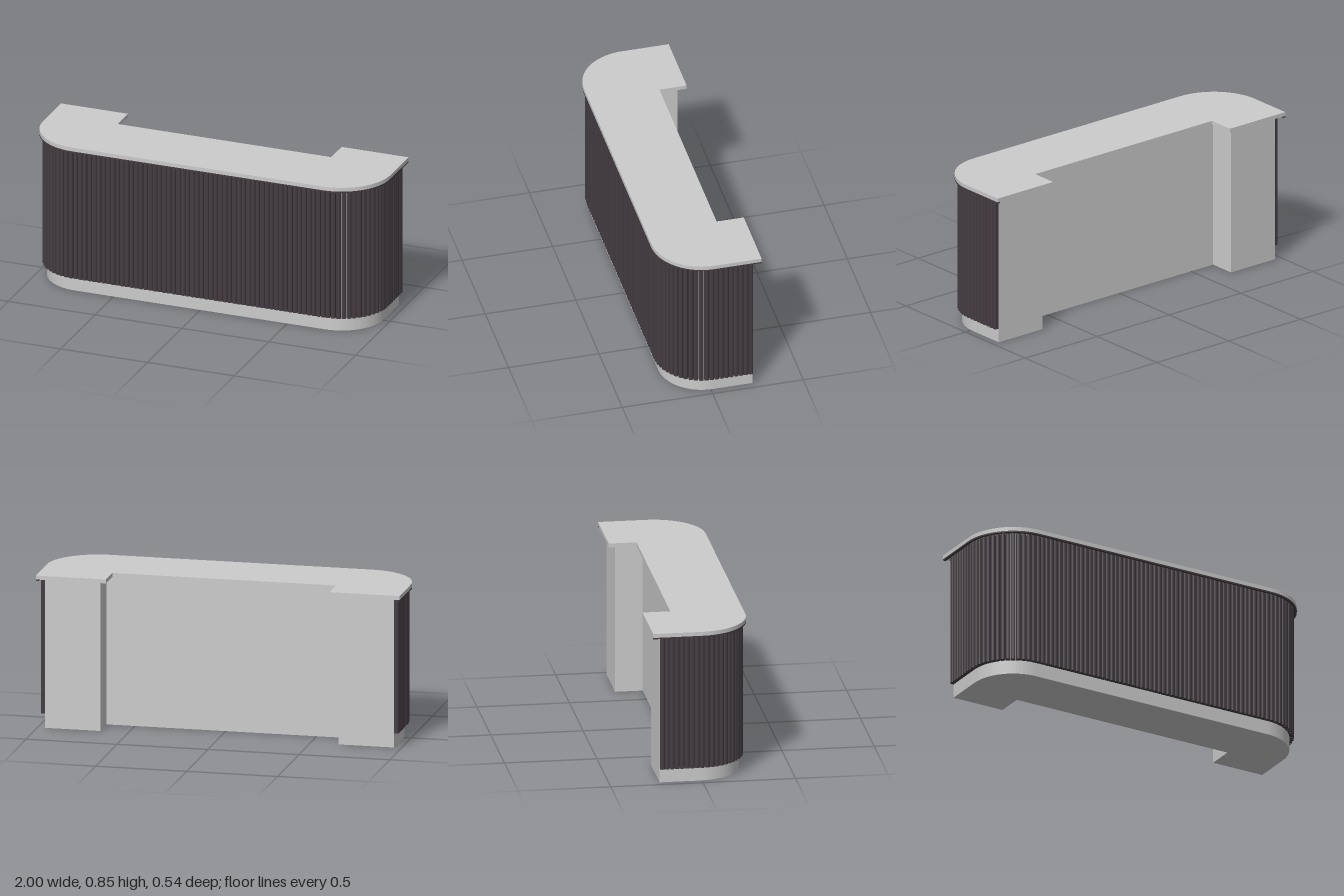
import * as THREE from 'three';

const HALF = 0.96, FRONT = 0.23, BACK = -0.23, RADIUS = 0.24;
const NOTCH_X = 0.655, NOTCH_Z = -0.08;

// Front and side outline grown outwards by d; shape y is -z
function frontPoints(d, back) {
  const pts = [new THREE.Vector2(-HALF - d, -back)];
  const r = RADIUS + d, n = 20;
  for (const side of [-1, 1]) {
    for (let i = 0; i <= n; i++) {
      const a = (i / n) * Math.PI / 2;
      const t = side < 0 ? a : Math.PI / 2 - a;
      pts.push(new THREE.Vector2(
        side * (HALF - RADIUS + r * Math.cos(t)),
        -(FRONT - RADIUS + r * Math.sin(t))));
    }
  }
  pts.push(new THREE.Vector2(HALF + d, -back));
  return pts;
}

// Full counter plan with the recess at the back
function plan(d) {
  const x = NOTCH_X - d, z = -(NOTCH_Z - d);
  return new THREE.Shape([
    ...frontPoints(d, BACK - d),
    new THREE.Vector2(x, -(BACK - d)), new THREE.Vector2(x, z),
    new THREE.Vector2(-x, z), new THREE.Vector2(-x, -(BACK - d)),
  ]);
}

// Upright extrusion from y0 to y1
function upright(shape, y0, y1, curveSegments = 8) {
  const g = new THREE.ExtrudeGeometry(shape, { depth: y1 - y0, bevelEnabled: false, curveSegments });
  return g.rotateX(-Math.PI / 2).translate(0, y0, 0);
}

// Position and outward heading at distance s along the body's front path
function alongPath(s) {
  const side = FRONT - RADIUS - BACK, arc = RADIUS * Math.PI / 2, front = 2 * (HALF - RADIUS);
  const total = 2 * (side + arc) + front;
  if (s > total / 2) {
    const m = alongPath(total - s);
    return { x: -m.x, z: m.z, angle: -m.angle };
  }
  if (s < side) return { x: -HALF, z: BACK + s, angle: -Math.PI / 2 };
  if (s < side + arc) {
    const a = (s - side) / RADIUS;
    return {
      x: -(HALF - RADIUS) - RADIUS * Math.cos(a),
      z: FRONT - RADIUS + RADIUS * Math.sin(a),
      angle: a - Math.PI / 2,
    };
  }
  return { x: -(HALF - RADIUS) + s - side - arc, z: FRONT, angle: 0 };
}

export function createModel() {
  const model = new THREE.Group();
  model.name = 'receptionCounter';
  const grey = new THREE.MeshStandardMaterial({ color: 0xcccccc });
  const dark = new THREE.MeshStandardMaterial({ color: 0x443d42 });
  const add = (name, geometry, material, parent = model) => {
    const mesh = new THREE.Mesh(geometry, material);
    mesh.name = name;
    parent.add(mesh);
    return mesh;
  };

  // Carcass, with its plinth showing below the slats
  add('body', upright(plan(0), 0, 0.825), grey);

  // Overhanging worktop
  add('worktop', upright(plan(0.04), 0.825, 0.847), grey);

  // Dark trim under the worktop's front and side edges
  const trim = new THREE.Shape([
    ...frontPoints(0.04, BACK - 0.04),
    ...frontPoints(0.025, BACK - 0.04).reverse(),
  ]);
  add('edgeTrim', upright(trim, 0.817, 0.825), dark);

  // Round-fronted vertical slats around the front and sides
  const w = 0.0122, depth = 0.025, nose = 0.008;
  const profile = new THREE.Shape();
  profile.moveTo(-w, 0.002);
  profile.lineTo(-w, nose - depth);
  profile.absellipse(0, nose - depth, w, nose, Math.PI, Math.PI * 2, false);
  profile.lineTo(w, 0.002);
  const slatGeometry = upright(profile, 0.078, 0.818, 6);
  const slats = new THREE.Group();
  slats.name = 'slats';
  model.add(slats);
  const length = 2 * (FRONT - RADIUS - BACK) + RADIUS * Math.PI + 4 * (HALF - RADIUS) / 2;
  const count = 98;
  for (let i = 0; i < count; i++) {
    const p = alongPath((i + 0.5) * length / count);
    const slat = add('slat', slatGeometry, dark, slats);
    slat.position.set(p.x, 0, p.z);
    slat.rotation.y = p.angle;
  }
  return model;
}
